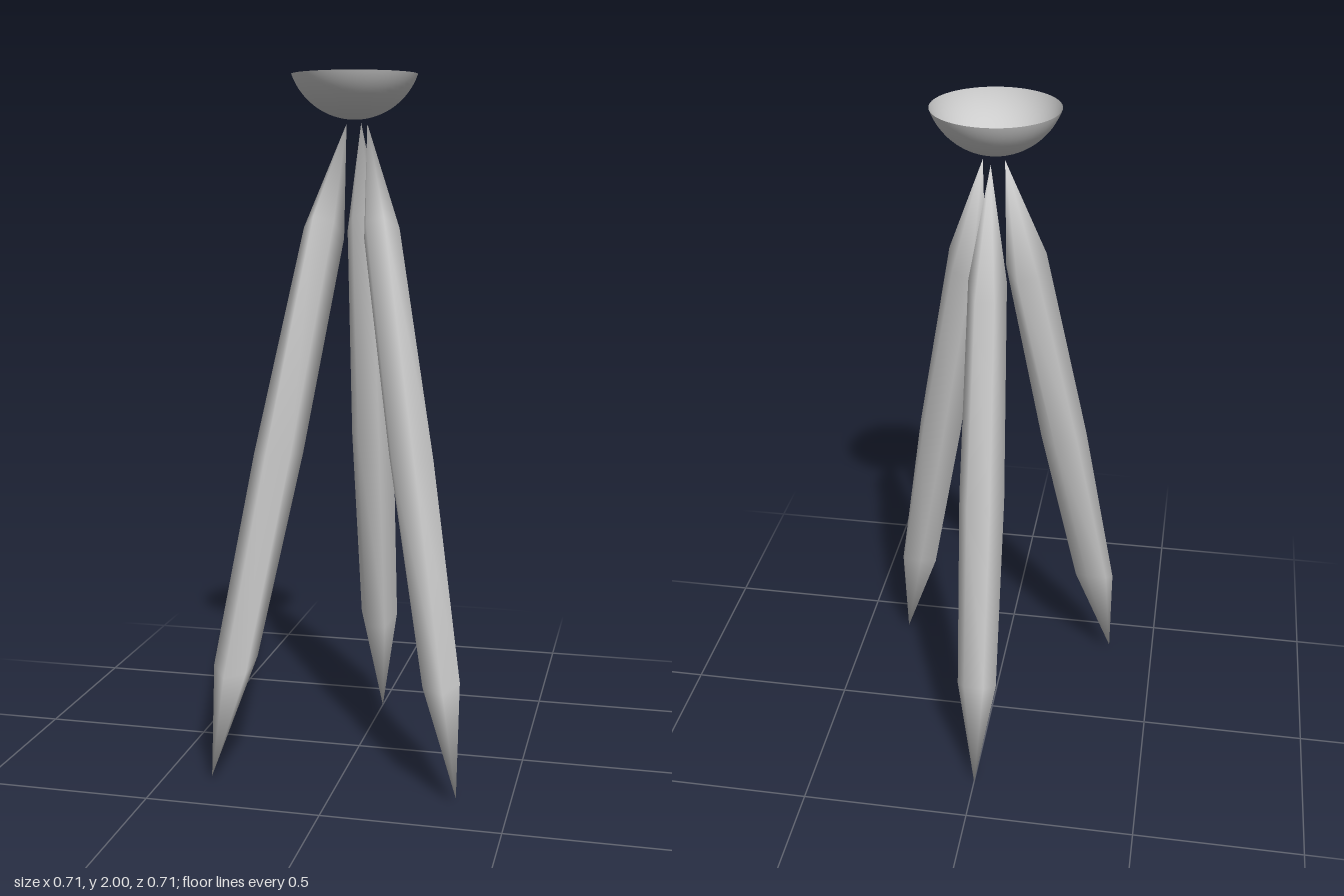
import * as THREE from 'three';

const SIDES = 6;

// Six-sided spindle between two pointed tips; end rings lean along z.
function legGeometry(top, bottom, rings) {
  const angle = Math.atan2(bottom.z, bottom.x);
  const out = new THREE.Vector3(Math.cos(angle), 0, Math.sin(angle));
  const side = new THREE.Vector3(-out.z, 0, out.x);
  const pos = [...top.toArray()];
  const index = [];
  for (const { t, radius, lean } of rings) {
    const c = top.clone().lerp(bottom, t);
    for (let i = 0; i < SIDES; i++) {
      const a = ((i + 0.5) / SIDES) * Math.PI * 2;
      const p = new THREE.Vector3()
        .addScaledVector(out, Math.cos(a) * radius * 1.1)
        .addScaledVector(side, Math.sin(a) * radius);
      p.y = p.z * lean;
      pos.push(...p.add(c).toArray());
    }
  }
  pos.push(...bottom.toArray());
  const last = 1 + rings.length * SIDES;
  for (let i = 0; i < SIDES; i++) {
    const j = (i + 1) % SIDES;
    index.push(0, 1 + j, 1 + i);
    for (let r = 0; r < rings.length - 1; r++) {
      const a = 1 + r * SIDES, b = a + SIDES;
      index.push(a + i, a + j, b + i, a + j, b + j, b + i);
    }
    index.push(last, last - SIDES + i, last - SIDES + j);
  }
  const geo = new THREE.BufferGeometry();
  geo.setAttribute('position', new THREE.Float32BufferAttribute(pos, 3));
  geo.setIndex(index);
  geo.computeVertexNormals();
  return geo;
}

export function createModel() {
  const group = new THREE.Group();
  const mat = new THREE.MeshStandardMaterial({ color: 0xcccccc, side: THREE.DoubleSide });

  // Open bowl: the lower cap of a sphere
  const R = 0.188, rim = 0.177, depth = 0.125;
  const half = Math.asin(rim / R);
  const bowl = new THREE.Mesh(
    new THREE.SphereGeometry(R, 48, 20, 0, Math.PI * 2, Math.PI - half, half), mat);
  bowl.name = 'bowl';
  bowl.position.set(0, 2 - depth + R, 0.058);
  group.add(bowl);

  // Three splayed legs
  const rings = [
    { t: 0.165, radius: 0.053, lean: 0.9 },
    { t: 0.5, radius: 0.065, lean: 0 },
    { t: 0.82, radius: 0.058, lean: -0.6 },
  ];
  const legs = [
    ['backLeg', [0, 1.87, -0.025], [0, 0, -0.355]],
    ['frontLeftLeg', [0.03, 1.865, 0.03], [0.354, 0.02, 0.355]],
    ['frontRightLeg', [-0.03, 1.865, 0.03], [-0.354, 0.02, 0.355]],
  ];
  for (const [name, top, bottom] of legs) {
    const leg = new THREE.Mesh(
      legGeometry(new THREE.Vector3(...top), new THREE.Vector3(...bottom), rings), mat);
    leg.name = name;
    group.add(leg);
  }
  return group;
}
